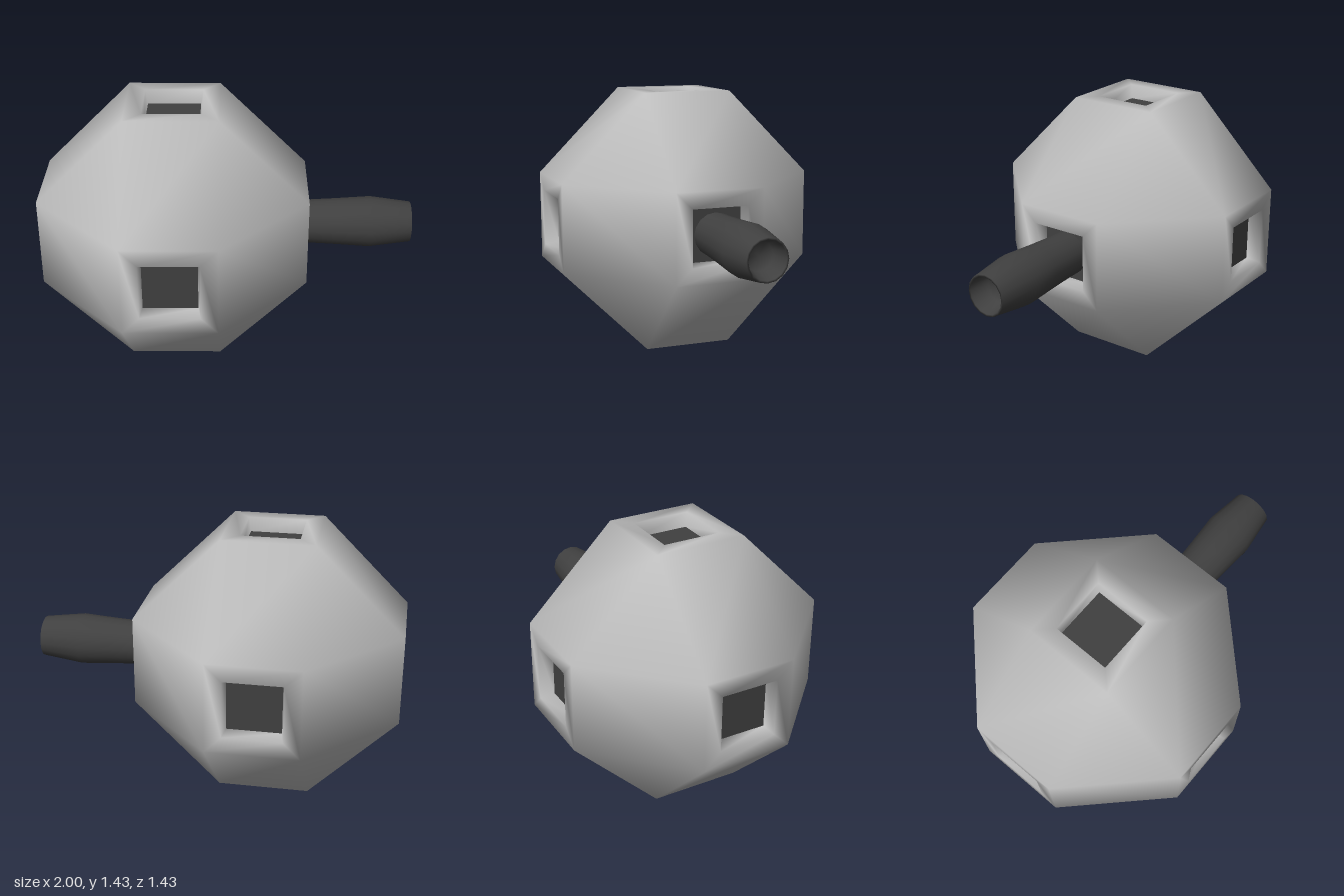
import * as THREE from 'three';
import { mergeVertices } from 'three/addons/utils/BufferGeometryUtils.js';

const R = 0.715;      // distance from centre to each flat face
const H = 0.245;      // half width of a flat face
const HOLE = 0.155;   // half width of the socket opening
const FLOOR = 0.142;  // half width of the socket floor
const DEPTH = 0.64;   // distance from centre to the socket floor

// Orientations that carry the +z face onto all six sides
const SIDES = {
  front: [0, 0], left: [0, Math.PI / 2], back: [0, Math.PI], right: [0, -Math.PI / 2],
  top: [-Math.PI / 2, 0], bottom: [Math.PI / 2, 0],
};

function square(half, z) {
  return [[-1, -1], [1, -1], [1, 1], [-1, 1]].map(([x, y]) => new THREE.Vector3(x * half, y * half, z));
}

function shellGeometry() {
  const points = [];
  const tri = (a, b, c) => points.push(a, b, c);
  const quad = (a, b, c, d) => { tri(a, b, c); tri(a, c, d); };

  // Outward-facing flat polygon
  const outward = (...p) => {
    const n = p[1].clone().sub(p[0]).cross(p[2].clone().sub(p[0]));
    if (n.dot(p[0]) < 0) p.reverse();
    if (p.length === 3) tri(...p); else quad(...p);
  };

  // Six faces, each a flat frame around a sunken socket
  for (const [rx, ry] of Object.values(SIDES)) {
    const turn = new THREE.Euler(rx, ry, 0);
    const rings = [square(H, R), square(HOLE, R), square(FLOOR, DEPTH)];
    rings.forEach(ring => ring.forEach(p => p.applyEuler(turn)));
    for (let k = 0; k < 2; k++) {
      for (let i = 0; i < 4; i++) {
        const j = (i + 1) % 4;
        quad(rings[k][i], rings[k][j], rings[k + 1][j], rings[k + 1][i]);
      }
    }
  }

  // Point with value a on axis i, b on axis j, c on axis k
  const at = (i, a, j, b, k, c) => {
    const p = new THREE.Vector3();
    p.setComponent(i, a); p.setComponent(j, b); p.setComponent(k, c);
    return p;
  };

  // Twelve bevels between neighbouring faces
  for (let k = 0; k < 3; k++) {
    const i = (k + 1) % 3, j = (k + 2) % 3;
    for (const s of [-1, 1]) for (const t of [-1, 1]) {
      outward(
        at(i, s * R, j, t * H, k, -H), at(i, s * R, j, t * H, k, H),
        at(i, s * H, j, t * R, k, H), at(i, s * H, j, t * R, k, -H));
    }
  }

  // Eight corner triangles
  for (const x of [-1, 1]) for (const y of [-1, 1]) for (const z of [-1, 1]) {
    outward(
      new THREE.Vector3(x * R, y * H, z * H),
      new THREE.Vector3(x * H, y * R, z * H),
      new THREE.Vector3(x * H, y * H, z * R));
  }

  const geometry = mergeVertices(new THREE.BufferGeometry().setFromPoints(points), 1e-4);
  geometry.computeVertexNormals();
  return geometry;
}

export function createModel() {
  const shellGrey = new THREE.MeshStandardMaterial({ color: 0xbcbcbc });
  const darkGrey = new THREE.MeshStandardMaterial({ color: 0x404040 });

  const model = new THREE.Group();
  model.name = 'socketedBall';
  const ball = new THREE.Group();
  ball.name = 'ball';
  ball.position.set(R - 1, R, 0);
  model.add(ball);

  // Faceted shell
  const shell = new THREE.Mesh(shellGeometry(), shellGrey);
  shell.name = 'shell';
  ball.add(shell);

  // Dark floor in every socket
  const floorGeometry = new THREE.PlaneGeometry(FLOOR * 2, FLOOR * 2).translate(0, 0, DEPTH);
  for (const [side, [rx, ry]] of Object.entries(SIDES)) {
    const floor = new THREE.Mesh(floorGeometry, darkGrey);
    floor.name = side + 'SocketFloor';
    floor.rotation.set(rx, ry, 0);
    ball.add(floor);
  }

  // Hollow-ended barrel: [radius, x]
  const profile = [[0.116, 0.3], [0.12, 0.45], [0.128, 0.6], [0.14, 0.78], [0.111, 1],
    [0.1, 1], [0.075, 0.9], [0, 0.9]].map(([r, x]) => new THREE.Vector2(r, x));
  const barrel = new THREE.Mesh(new THREE.LatheGeometry(profile, 16), darkGrey);
  barrel.name = 'barrel';
  barrel.rotation.z = -Math.PI / 2;
  barrel.position.y = R;
  model.add(barrel);

  return model;
}
